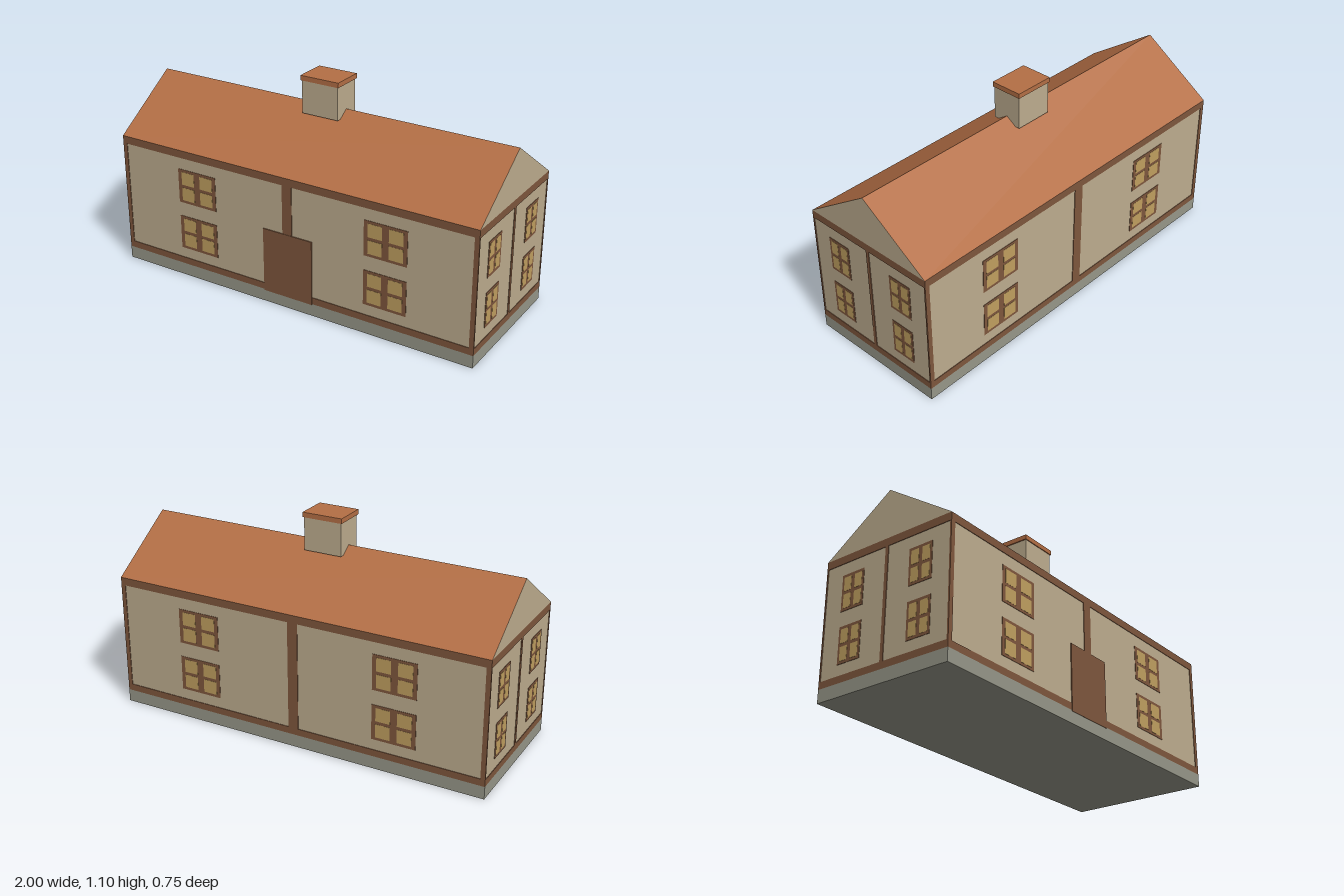
import * as THREE from 'three';

const mat = (name, color) => {
  const m = new THREE.MeshStandardMaterial({ color });
  m.name = name;
  return m;
};

export function createModel() {
  const plaster = mat('plaster', 0xbead8f);
  const timber = mat('timber', 0x7f573d);
  const tile = mat('roofTile', 0xb46f45);
  const stone = mat('stone', 0x979789);
  const glass = mat('windowGlass', 0xc1a060);

  const house = new THREE.Group();
  house.name = 'house';

  const W = 1, D = 0.372;              // half width and half depth
  const T = 0.003;                     // relief of the timber on the walls
  const BASE = 0.065, SILL = 0.1, HEAD = 0.655, EAVES = 0.695, RIDGE = 0.945;

  // Box given by its extents
  const box = (parent, name, material, x0, x1, y0, y1, z0, z1) => {
    const mesh = new THREE.Mesh(new THREE.BoxGeometry(x1 - x0, y1 - y0, z1 - z0), material);
    mesh.position.set((x0 + x1) / 2, (y0 + y1) / 2, (z0 + z1) / 2);
    mesh.name = name;
    parent.add(mesh);
  };

  // Main body, from ground to eaves
  box(house, 'foundation', stone, -W, W, 0, BASE, -D, D);
  box(house, 'lowerBeam', timber, -W, W, BASE, SILL, -D, D);
  box(house, 'walls', plaster, -W + T, W - T, SILL, HEAD, -D + T, D - T);
  box(house, 'upperBeam', timber, -W, W, HEAD, EAVES, -D, D);

  // Corner posts
  for (const sx of [-1, 1]) for (const sz of [-1, 1]) {
    const xs = [sx * W, sx * (W - 0.024)].sort((a, b) => a - b);
    const zs = [sz * D, sz * (D - 0.008)].sort((a, b) => a - b);
    box(house, 'cornerPost', timber, ...xs, SILL, HEAD, ...zs);
  }

  // Window on a wall whose surface is z = 0 in the wall's own frame
  const addWindow = (wall, x, y, w, border, bar) => {
    const win = new THREE.Group();
    win.name = 'window';
    win.position.set(x, y, 0);
    const h = 0.182, edge = 0.014, rail = 0.016;
    box(win, 'windowFrame', timber, -w / 2, w / 2, -h / 2, h / 2, -T, T * 0.7);
    for (const sx of [-1, 1]) for (const sy of [-1, 1]) {
      const xs = [sx * bar / 2, sx * (w / 2 - border)].sort((a, b) => a - b);
      const ys = [sy * rail / 2, sy * (h / 2 - edge)].sort((a, b) => a - b);
      box(win, 'windowPane', glass, ...xs, ...ys, 0, T);
    }
    wall.add(win);
  };

  // Four walls: middle post and four windows each
  const long = { dist: D - T, post: 0.027, x: 0.537, w: 0.228, border: 0.021, bar: 0.036 };
  const short = { dist: W - T, post: 0.009, x: 0.201, w: 0.132, border: 0.012, bar: 0.02 };
  ['frontWall', 'leftWall', 'backWall', 'rightWall'].forEach((name, i) => {
    const s = i % 2 ? short : long;
    const wall = new THREE.Group();
    wall.name = name;
    wall.rotation.y = i * Math.PI / 2;
    wall.position.set(Math.sin(wall.rotation.y) * s.dist, 0, Math.cos(wall.rotation.y) * s.dist);
    box(wall, 'middlePost', timber, -s.post, s.post, SILL, HEAD, -T, T);
    for (const sx of [-1, 1]) for (const y of [0.246, 0.503])
      addWindow(wall, sx * s.x, y, s.w, s.border, s.bar);
    house.add(wall);
  });

  // Door in the front wall
  box(house, 'door', timber, -0.139, 0.139, 0.06, 0.4, D - T, D + 0.002);

  // Gabled roof: plaster ends, tiled slopes
  const gable = new THREE.Shape([
    new THREE.Vector2(-D, EAVES), new THREE.Vector2(D, EAVES), new THREE.Vector2(0, RIDGE),
  ]);
  const roofGeo = new THREE.ExtrudeGeometry(gable, { depth: 2 * W, bevelEnabled: false });
  roofGeo.translate(0, 0, -W).rotateY(Math.PI / 2);
  const roof = new THREE.Mesh(roofGeo, [plaster, tile]);
  roof.name = 'roof';
  house.add(roof);

  // Chimney with its cap
  box(house, 'chimney', plaster, -0.1, 0.1, 0.908, 1.075, -0.079, 0.079);
  box(house, 'chimneyCap', tile, -0.106, 0.106, 1.075, 1.1, -0.084, 0.084);

  return house;
}
